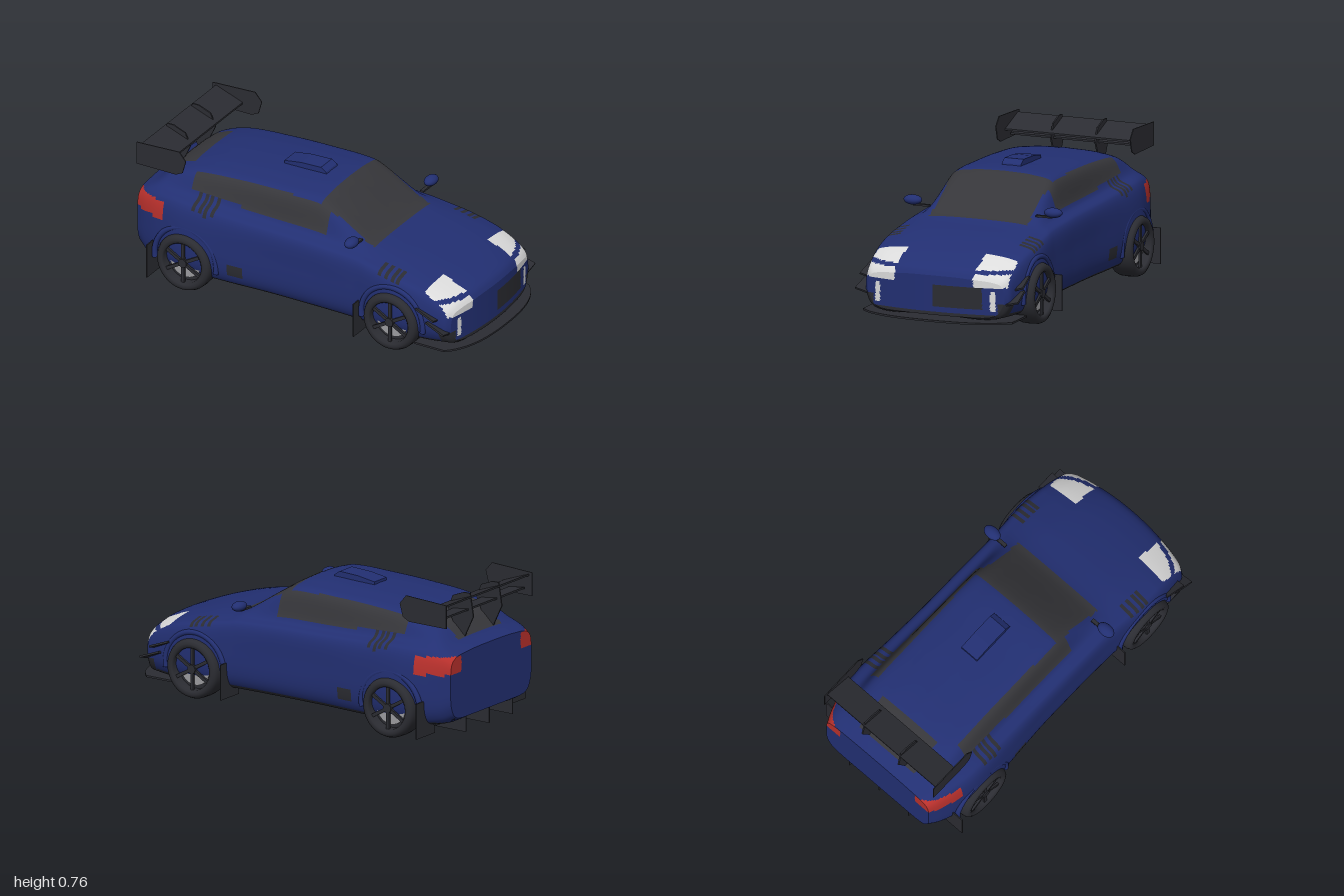
import * as THREE from 'three';

const mat = (name, color, side = THREE.FrontSide) => {
  const m = new THREE.MeshStandardMaterial({ color, side });
  m.name = name;
  return m;
};
const BLUE = mat('blue paint', 0x222f72);
const GLASS = mat('dark glass', 0x36363a);
const BLACK = mat('black trim', 0x2b2c32, THREE.DoubleSide);
const WHITE = mat('headlight white', 0xdcdcdc);
const RED = mat('red', 0xb8302c);
const GREY = mat('brake disc grey', 0x9c9ca0);
const PAINTS = [BLUE, GLASS, BLACK, WHITE, RED];

// Body stations: x, bottom, top, max half width, shoulder z/y, cabin base z/y, roof edge z/y
const STATIONS = [
  [-1.0, 0.13, 0.47, 0.355, 0.345, 0.42, 0.31, 0.45, 0.2, 0.465],
  [-0.94, 0.10, 0.505, 0.385, 0.37, 0.44, 0.335, 0.475, 0.24, 0.495],
  [-0.85, 0.085, 0.585, 0.415, 0.39, 0.465, 0.335, 0.505, 0.27, 0.555],
  [-0.7, 0.08, 0.635, 0.44, 0.41, 0.475, 0.345, 0.51, 0.285, 0.6],
  [-0.45, 0.075, 0.66, 0.43, 0.405, 0.46, 0.345, 0.495, 0.285, 0.622],
  [-0.2, 0.075, 0.668, 0.417, 0.4, 0.45, 0.34, 0.485, 0.285, 0.63],
  [0.04, 0.075, 0.668, 0.415, 0.4, 0.445, 0.34, 0.48, 0.28, 0.63],
  [0.12, 0.075, 0.635, 0.415, 0.4, 0.442, 0.34, 0.475, 0.28, 0.6],
  [0.33, 0.075, 0.495, 0.42, 0.4, 0.43, 0.35, 0.455, 0.28, 0.482],
  [0.4, 0.075, 0.468, 0.425, 0.405, 0.42, 0.355, 0.44, 0.26, 0.46],
  [0.57, 0.075, 0.438, 0.44, 0.415, 0.39, 0.36, 0.412, 0.25, 0.43],
  [0.76, 0.075, 0.39, 0.43, 0.405, 0.345, 0.355, 0.366, 0.23, 0.383],
  [0.88, 0.08, 0.347, 0.415, 0.395, 0.3, 0.345, 0.322, 0.22, 0.339],
  [0.93, 0.085, 0.318, 0.405, 0.385, 0.27, 0.335, 0.293, 0.21, 0.31],
  [0.947, 0.095, 0.29, 0.385, 0.365, 0.255, 0.32, 0.272, 0.2, 0.283],
];
const HALF = 64; // points per half section

// Smooth interpolation of the station columns
function stationAt(x) {
  const S = STATIONS, n = S.length;
  let i = 0;
  while (i < n - 2 && x > S[i + 1][0]) i++;
  const slope = (k, c) => {
    const a = S[Math.max(k - 1, 0)], b = S[Math.min(k + 1, n - 1)];
    return (b[c] - a[c]) / (b[0] - a[0]);
  };
  const h = S[i + 1][0] - S[i][0], t = (x - S[i][0]) / h, t2 = t * t, t3 = t2 * t;
  return S[i].map((v, c) => (2 * t3 - 3 * t2 + 1) * v + (t3 - 2 * t2 + t) * h * slope(i, c)
    + (3 * t2 - 2 * t3) * S[i + 1][c] + (t3 - t2) * h * slope(i + 1, c));
}

// The nose is bowed in plan
const bowed = (x, y, z) => new THREE.Vector3(x - (x > 0.7 ? (x - 0.7) * 1.3 * z * z : 0), y, z);

// Half section from bottom centre up the left side to top centre, as [z, y]
function halfSection(x) {
  const [, yb, yt, w, ws, ys, wg, yg, wr, yr] = stationAt(x);
  const curve = new THREE.CatmullRomCurve3([
    [0, yb], [w * 0.86, yb], [w * 0.975, yb + 0.055], [w, yb + (ys - yb) * 0.6],
    [ws, ys], [wg, yg], [wr, yr], [wr * 0.62, yt - (yt - yr) * 0.25], [0, yt],
  ].map(([z, y]) => new THREE.Vector3(z, y, 0)));
  return curve.getPoints(HALF).map((p) => [Math.max(p.x, 0), p.y]);
}

// Paint scheme: index into PAINTS for a point on the shell
function paintAt({ x, y, z }) {
  const a = Math.abs(z), within = (v, lo, hi) => v > lo && v < hi;
  const stripe = (x0) => within(x, x0, x0 + 0.135) && (x - x0) % 0.037 < 0.02;
  if (y < 0.1) return 2;
  if (within(x, 0.06, 0.38) && a < 0.275 && y > 0.455) return 1;
  if (within(x, -0.69, 0.12) && a > 0.278 && y > 0.49 - 0.045 * (x - 0.12)) return 1;
  if (within(x, -0.93, -0.755) && a < 0.19 && y > 0.51) return 1;
  if (within(a, 0.33, 0.42) && ((stripe(0.48) && y > 0.36) || (stripe(-0.64) && y > 0.445))) return 2;
  if (within(x, -0.42, -0.335) && within(y, 0.15, 0.21)) return 2;
  if (x > 0.75 && within(a, 0.22, 0.395) && y > 0.245 && !within(y, 0.307, 0.325)) return 3;
  if (x > 0.86 && within(a, 0.31, 0.338) && within(y, 0.12, 0.225)) return 3;
  if (x > 0.84 && a > 0.35 && within(y, 0.1, 0.16)) return 2;
  if (x > 0.9 && within(z, -0.268, 0) && within(y, 0.13, 0.245)) return 2;
  if (x < -0.81 && a > 0.26 && within(y, 0.365 - (x + 0.98) * 0.05, 0.455)) return 4;
  return 0;
}

// Surface through a grid of points, with one material group per paint
function paintedGrid(name, rows, flip = false) {
  const m = rows[0].length, faces = PAINTS.map(() => []), c = new THREE.Vector3();
  for (let i = 0; i < rows.length - 1; i++) {
    for (let j = 0; j < m - 1; j++) {
      c.copy(rows[i][j]).add(rows[i + 1][j]).add(rows[i + 1][j + 1]).add(rows[i][j + 1]).divideScalar(4);
      const a = i * m + j, b = a + m;
      faces[paintAt(c)].push(...(flip ? [a, b + 1, b, a, a + 1, b + 1] : [a, b, b + 1, a, b + 1, a + 1]));
    }
  }
  const geo = new THREE.BufferGeometry().setFromPoints(rows.flat());
  geo.setIndex(faces.flat());
  let start = 0;
  faces.forEach((f, k) => { if (f.length) geo.addGroup(start, f.length, k); start += f.length; });
  geo.computeVertexNormals();
  const mesh = new THREE.Mesh(geo, PAINTS);
  mesh.name = name;
  return mesh;
}

function buildBody() {
  const g = new THREE.Group();
  g.name = 'body';
  const x0 = STATIONS[0][0], x1 = STATIONS[STATIONS.length - 1][0], rows = [];
  for (let i = 0; i <= 195; i++) {
    const x = x0 + (x1 - x0) * i / 195, half = halfSection(x);
    const right = half.slice(0, -1).reverse().map(([z, y]) => [-z, y]);
    rows.push([...half, ...right].map(([z, y]) => bowed(x, y, z)));
  }
  g.add(paintedGrid('bodyShell', rows));
  for (const [name, x, flip] of [['nosePanel', x1, false], ['tailPanel', x0, true]]) {
    const half = halfSection(x), cap = [];
    for (let k = 0; k <= 100; k++) cap.push(half.map(([z, y]) => bowed(x, y, z * (1 - k / 50))));
    g.add(paintedGrid(name, cap, flip));
  }
  return g;
}

function add(parent, name, geo, material, x = 0, y = 0, z = 0) {
  const mesh = new THREE.Mesh(geo, material);
  mesh.name = name;
  mesh.position.set(x, y, z);
  parent.add(mesh);
  return mesh;
}

// Flat plate with an outline in x/y, centred on z
function plate(parent, name, outline, depth, z, material = BLACK) {
  const shape = new THREE.Shape(outline.map(([x, y]) => new THREE.Vector2(x, y)));
  const geo = new THREE.ExtrudeGeometry(shape, { depth, bevelEnabled: false });
  return add(parent, name, geo, material, 0, 0, z - depth / 2);
}

function buildWheel(name) {
  const g = new THREE.Group();
  g.name = name;
  const profile = [[0.1, -0.06], [0.135, -0.068], [0.15, -0.06], [0.158, -0.04], [0.16, 0], [0.158, 0.04],
    [0.15, 0.058], [0.135, 0.066], [0.12, 0.063], [0.112, 0.055], [0.11, 0.0]];
  const tire = new THREE.LatheGeometry(profile.map(([r, y]) => new THREE.Vector2(r, y)), 48);
  add(g, 'tire', tire.rotateX(Math.PI / 2), BLACK);
  const disc = (r, h) => new THREE.CylinderGeometry(r, r, h, 40).rotateX(Math.PI / 2);
  add(g, 'wheelBack', disc(0.112, 0.06), BLACK, 0, 0, -0.015);
  add(g, 'brakeDisc', disc(0.092, 0.02), GREY, 0, 0, 0.015);
  add(g, 'brakeCaliper', new THREE.BoxGeometry(0.09, 0.04, 0.015), RED, 0, 0.07, 0.028);
  add(g, 'hub', disc(0.024, 0.02), BLACK, 0, 0, 0.048);
  for (let i = 0; i < 6; i++) {
    const spoke = new THREE.BoxGeometry(0.018, 0.1, 0.012).translate(0, 0.063, 0);
    add(g, 'spoke', spoke, BLACK, 0, 0, 0.046).rotation.z = i * Math.PI / 3;
  }
  return g;
}

export function createModel() {
  const car = new THREE.Group();
  car.name = 'raceCar';
  car.add(buildBody());

  // Wheels, arches, mud flaps, canards and mirrors on both sides
  for (const s of [1, -1]) {
    for (const [end, x, flapX] of [['front', 0.57, 0.37], ['rear', -0.67, -0.87]]) {
      const wheel = buildWheel(end + 'Wheel');
      wheel.position.set(x, 0.16, s * 0.4);
      if (s < 0) wheel.rotation.y = Math.PI;
      car.add(wheel);
      const arch = new THREE.TorusGeometry(0.185, 0.015, 10, 40, Math.PI * 1.1).rotateZ(-Math.PI * 0.05);
      add(car, end + 'Arch', arch, BLUE, x, 0.165, s * 0.424);
      const flap = plate(car, end + 'MudFlap', [[-0.08, 0.03], [0.083, 0.03], [0.083, 0.22], [-0.05, 0.22]], 0.006, 0);
      flap.rotation.y = -s * Math.PI / 2;
      flap.scale.x = 1;
      flap.position.set(flapX, 0, s * 0.392);
    }
    for (const [x, y] of [[0.78, 0.25], [0.84, 0.185]]) {
      add(car, 'canard', new THREE.BoxGeometry(0.12, 0.01, 0.07), BLACK, x, y, s * 0.42)
        .rotation.set(-s * 0.25, 0, -0.36);
    }
    add(car, 'mirror', new THREE.SphereGeometry(1, 24, 16).scale(0.033, 0.026, 0.05), BLUE, 0.31, 0.527, s * 0.395);
    add(car, 'mirrorStalk', new THREE.BoxGeometry(0.02, 0.01, 0.09), BLACK, 0.31, 0.503, s * 0.345);
  }

  // Roof scoop
  plate(car, 'roofScoop', [[-0.3, 0.655], [-0.04, 0.655], [-0.05, 0.68], [-0.08, 0.7], [-0.2, 0.695], [-0.3, 0.68]],
    0.108, 0, BLUE);

  // Front splitter
  const lip = new THREE.Shape();
  lip.moveTo(0.7, -0.42);
  lip.lineTo(0.88, -0.42);
  lip.bezierCurveTo(0.97, -0.34, 1.0, -0.2, 1.0, 0);
  lip.bezierCurveTo(1.0, 0.2, 0.97, 0.34, 0.88, 0.42);
  lip.lineTo(0.7, 0.42);
  const lipGeo = new THREE.ExtrudeGeometry(lip, { depth: 0.01, bevelEnabled: false, curveSegments: 16 });
  add(car, 'frontSplitter', lipGeo.rotateX(Math.PI / 2), BLACK, 0, 0.067, 0);

  // Rear diffuser with three fins
  plate(car, 'diffuser', [[-0.99, 0.12], [-0.79, 0.03], [-0.79, 0.036], [-0.99, 0.126]], 0.62, 0);
  for (const z of [-0.205, 0, 0.205]) {
    plate(car, 'diffuserFin', [[-0.99, 0.03], [-0.79, 0.03], [-0.99, 0.12]], 0.006, z);
  }

  // Rear wing
  const wing = new THREE.Group();
  wing.name = 'rearWing';
  plate(wing, 'mainPlane', [[-0.97, 0.725], [-0.81, 0.667], [-0.81, 0.677], [-0.97, 0.735]], 0.755, 0);
  plate(wing, 'lowerPlane', [[-0.95, 0.655], [-0.85, 0.64], [-0.85, 0.65], [-0.95, 0.665]], 0.726, 0);
  for (const s of [1, -1]) {
    plate(wing, 'endPlate', [[-0.99, 0.62], [-0.755, 0.62], [-0.715, 0.64], [-0.695, 0.71], [-0.735, 0.757],
      [-0.99, 0.745]], 0.005, s * 0.378);
    plate(wing, 'wingSupport', [[-0.98, 0.625], [-0.92, 0.5], [-0.87, 0.54], [-0.82, 0.65], [-0.85, 0.72],
      [-0.92, 0.747], [-0.96, 0.747]], 0.008, s * 0.125);
  }
  car.add(wing);
  return car;
}
